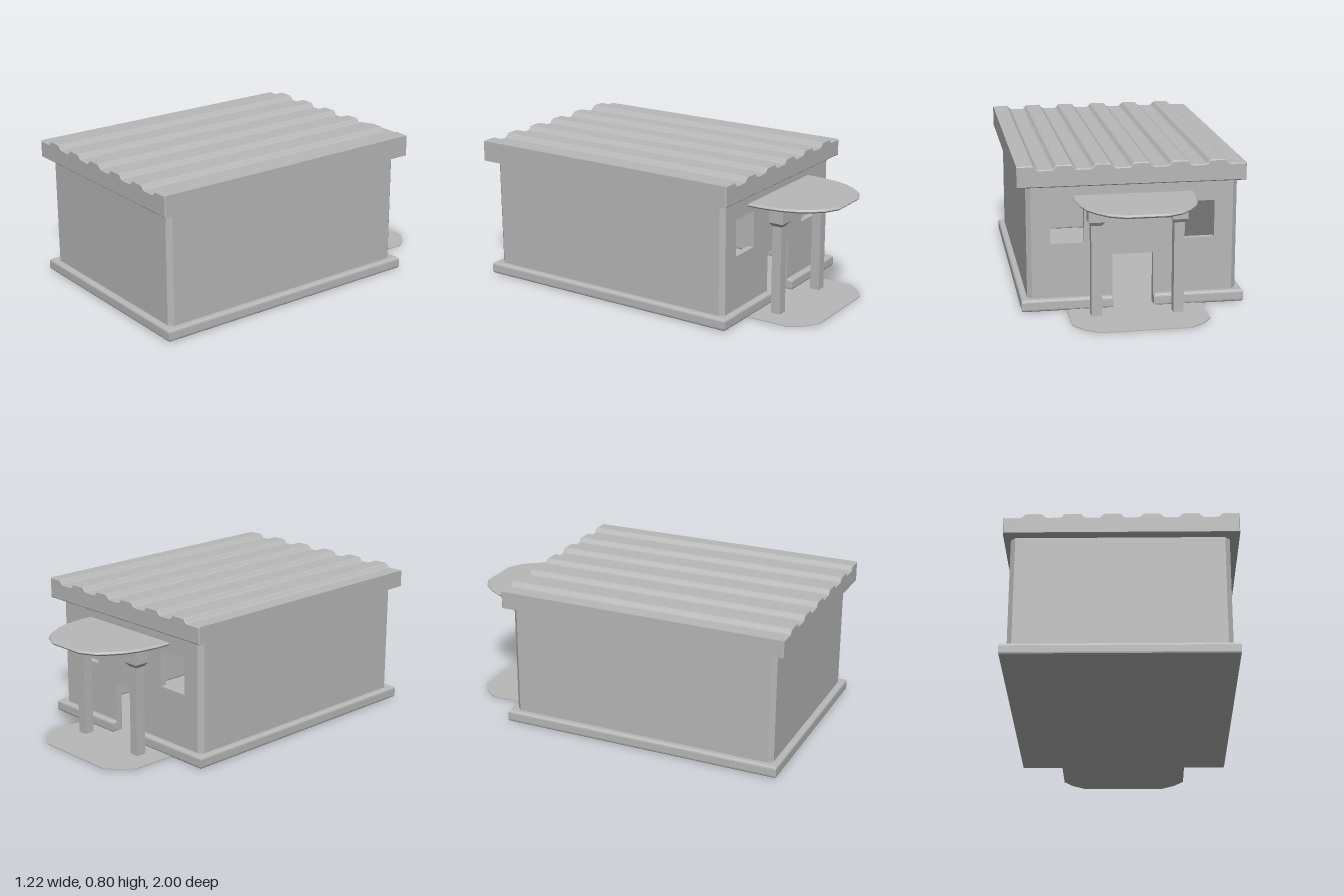
import * as THREE from 'three';

const plaster = new THREE.MeshStandardMaterial({ color: 0xb8b8b8 });
plaster.name = 'plainGrey';

export function createModel() {
  const model = new THREE.Group();
  model.name = 'smallHouse';

  const add = (name, geometry) => {
    const mesh = new THREE.Mesh(geometry, plaster);
    mesh.name = name;
    model.add(mesh);
    return mesh;
  };
  const outline = (points) => new THREE.Shape(points.map(([x, y]) => new THREE.Vector2(x, y)));
  const rect = (x0, y0, x1, y1) => [[x0, y0], [x1, y0], [x1, y1], [x0, y1]];

  // Extrudes an outline, rounding its rim inwards by the bevel
  const extrude = (shape, depth, bevel = 0, segments = 2) => {
    const geometry = new THREE.ExtrudeGeometry(shape, {
      depth: depth - 2 * bevel, bevelEnabled: bevel > 0, bevelSize: bevel,
      bevelThickness: bevel, bevelOffset: -bevel, bevelSegments: segments,
    });
    return geometry.translate(0, 0, bevel);
  };
  // Raises a ground plan of [x, z] points from y0 to y1
  const raise = (plan, y0, y1, bevel, segments) =>
    extrude(outline(plan.map(([x, z]) => [x, -z])), y1 - y0, bevel, segments)
      .rotateX(-Math.PI / 2).translate(0, y0, 0);

  const cx = -0.01;      // middle of the house across
  const doorHalf = 0.11;
  const doorTop = 0.29;

  // Plinth, open at the doorway, and the floor inside it
  add('plinth', raise([
    [cx + doorHalf, -0.605], [0.59, -0.605], [0.59, 0.985], [-0.61, 0.985], [-0.61, -0.605],
    [cx - doorHalf, -0.605], [cx - doorHalf, -0.535], [-0.54, -0.535], [-0.54, 0.915],
    [0.52, 0.915], [0.52, -0.535], [cx + doorHalf, -0.535],
  ], 0, 0.065, 0.014, 3));
  add('floor', raise(rect(-0.595, -0.59, 0.575, 0.97), 0, 0.005));

  // Front and side walls with chamfered corners, open towards the back
  add('walls', raise([
    [0.53, -0.57], [0.555, -0.545], [0.555, 0.925], [0.53, 0.95],
    [-0.55, 0.95], [-0.575, 0.925], [-0.575, -0.545], [-0.55, -0.57],
    [-0.55, -0.535], [-0.54, -0.535], [-0.54, 0.915], [0.52, 0.915],
    [0.52, -0.535], [0.53, -0.535],
  ], 0.05, 0.69));

  // Back wall with a doorway and two windows
  const back = outline([
    [-0.55, 0.004], [cx - doorHalf, 0.004], [cx - doorHalf, doorTop], [cx + doorHalf, doorTop],
    [cx + doorHalf, 0.004], [0.53, 0.004], [0.53, 0.69], [-0.55, 0.69],
  ]);
  for (const side of [-1, 1]) {
    const x = cx + side * 0.35;
    back.holes.push(outline(rect(x - 0.09, 0.362, x + 0.09, 0.565)));
  }
  add('backWall', extrude(back, 0.035)).position.z = -0.57;

  // Roof slab with evenly spaced ribs running front to back
  const roof = [[-0.61, 0.68], [0.605, 0.68], [0.605, 0.795]];
  for (let i = 5; i >= 0; i--) {
    const x = -0.455 + i * 0.203;
    if (i < 5) roof.push([x + 0.066, 0.774], [x + 0.057, 0.779], [x + 0.045, 0.793], [x + 0.038, 0.797]);
    roof.push([x - 0.038, 0.797], [x - 0.045, 0.793], [x - 0.057, 0.779], [x - 0.066, 0.774]);
  }
  roof.push([-0.61, 0.774]);
  add('ribbedRoof', extrude(outline(roof), 1.615, 0.005, 1)).position.z = -0.615;

  // Porch paving
  add('porchPaving', raise([
    [-0.375, -0.58], [-0.375, -0.84], [-0.325, -0.91], [-0.25, -0.965],
    [0.225, -0.965], [0.3, -0.91], [0.35, -0.84], [0.35, -0.58],
  ], 0, 0.005));

  // Rounded canopy, its rim sloping in towards the top
  add('canopy', raise([
    [-0.335, -0.565], [-0.335, -0.64], [-0.32, -0.75], [-0.295, -0.83], [-0.25, -0.905],
    [-0.2, -0.96], [-0.12, -1], [0.1, -1], [0.18, -0.96], [0.23, -0.905],
    [0.275, -0.83], [0.3, -0.75], [0.313, -0.64], [0.313, -0.565],
  ], 0.603, 0.622, 0.008, 1));

  // Square columns, each with a capital that flares out from the shaft
  for (const side of [-1, 1]) {
    const column = new THREE.Group();
    column.name = side > 0 ? 'leftColumn' : 'rightColumn';
    const parts = [
      ['shaft', new THREE.BoxGeometry(0.055, 0.505, 0.055), 0.2525],
      ['flare', new THREE.CylinderGeometry(0.0425 * Math.SQRT2, 0.0285 * Math.SQRT2, 0.02, 4, 1, false, Math.PI / 4)
        .toNonIndexed(), 0.508],
      ['capital', new THREE.BoxGeometry(0.085, 0.09, 0.085), 0.563],
    ];
    for (const [name, geometry, y] of parts) {
      geometry.computeVertexNormals();
      const mesh = new THREE.Mesh(geometry, plaster);
      mesh.name = name;
      mesh.position.y = y;
      column.add(mesh);
    }
    column.position.set(cx + side * 0.218, 0, -0.703);
    model.add(column);
  }
  return model;
}
